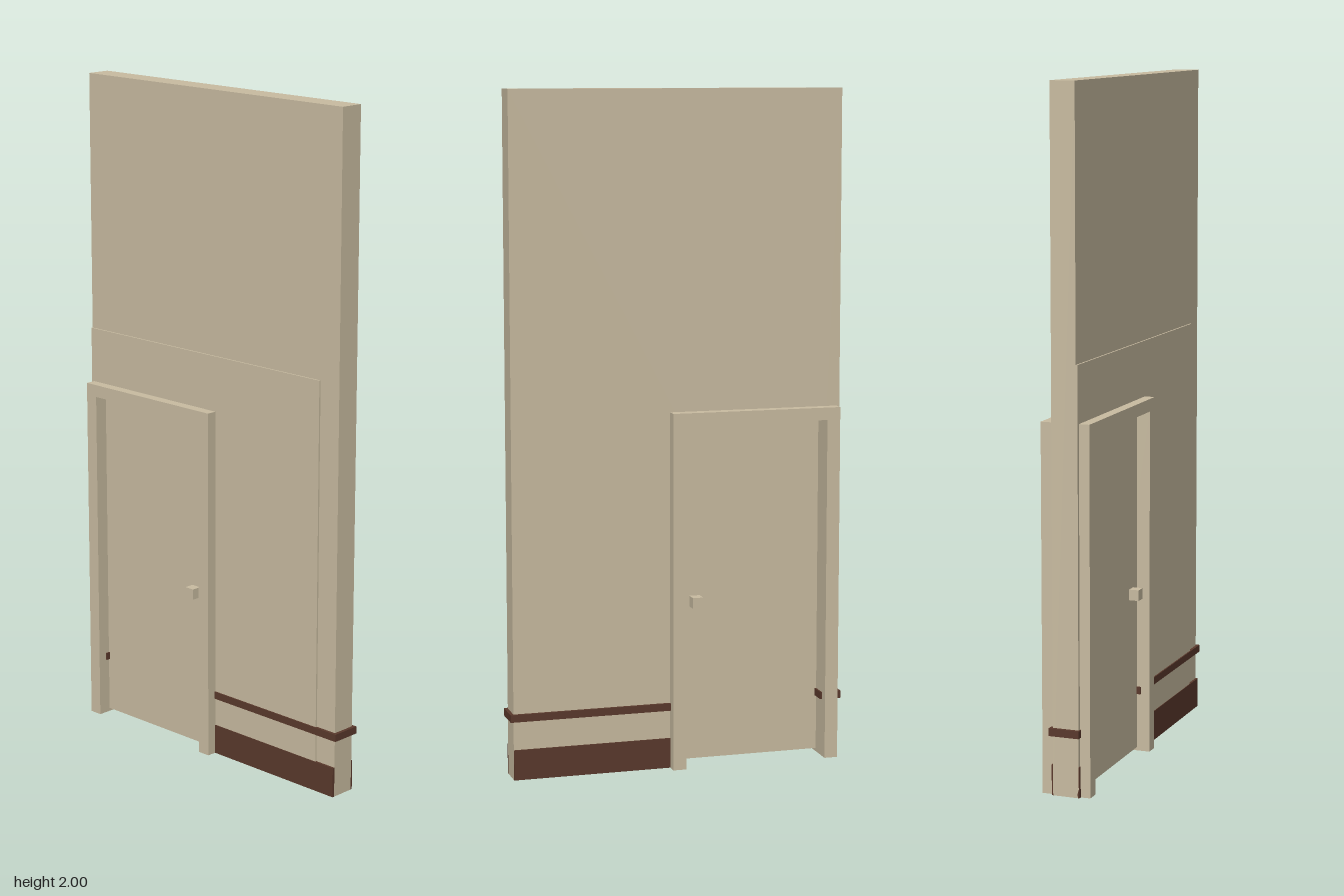
import * as THREE from 'three';

export function createModel() {
  const group = new THREE.Group();
  group.name = 'wallWithDoor';

  const plaster = new THREE.MeshStandardMaterial({ color: 0xc9bca1 });
  plaster.name = 'beigePlaster';
  const wood = new THREE.MeshStandardMaterial({ color: 0x5a392c });
  wood.name = 'darkWood';

  function add(name, geometry, material) {
    const mesh = new THREE.Mesh(geometry, material);
    mesh.name = name;
    group.add(mesh);
  }

  // Box given by its lower and upper corners
  function box(name, material, [x0, x1], [y0, y1], [z0, z1]) {
    const g = new THREE.BoxGeometry(x1 - x0, y1 - y0, z1 - z0);
    g.translate((x0 + x1) / 2, (y0 + y1) / 2, (z0 + z1) / 2);
    add(name, g, material);
  }

  // Slab with a doorway cut up from the floor
  function arch(name, [x0, x1], top, [ix0, ix1], innerTop, [z0, z1]) {
    const points = [
      [x0, 0], [ix0, 0], [ix0, innerTop], [ix1, innerTop],
      [ix1, 0], [x1, 0], [x1, top], [x0, top],
    ].map(([x, y]) => new THREE.Vector2(x, y));
    const g = new THREE.ExtrudeGeometry(new THREE.Shape(points), { depth: z1 - z0, bevelEnabled: false });
    g.translate(0, 0, z0);
    add(name, g, plaster);
  }

  // Wall, thin front panel and deep door frame
  const rough = [-0.46, -0.006];
  arch('wall', [-0.5, 0.5], 2, rough, 1.04, [-0.037, 0.036]);
  arch('frontPanel', [-0.5, 0.43], 1.23, rough, 1.04, [0.036, 0.041]);
  arch('doorFrame', [-0.49, 0.025], 1.065, [-0.45, -0.015], 1.028, [-0.073, 0.072]);

  // Door leaf with a small gap above and below, and a knob on each side
  box('door', plaster, [-0.45, -0.015], [0.01, 1.017], [0.006, 0.032]);
  box('frontKnob', plaster, [-0.08, -0.048], [0.475, 0.507], [0.03, 0.062]);
  box('backKnob', plaster, [-0.08, -0.048], [0.475, 0.507], [-0.03, 0.008]);

  // Rails wrap each side of the wall; baseboards lie on both faces
  const sides = [
    { name: 'right', rail: [-0.51, -0.445], base: [-0.5, -0.47] },
    { name: 'left', rail: [-0.02, 0.51], base: [0.01, 0.5] },
  ];
  for (const { name, rail, base } of sides) {
    box(name + 'ChairRail', wood, rail, [0.175, 0.197], [-0.046, 0.045]);
    box(name + 'FrontBaseboard', wood, base, [0, 0.09], [0.036, 0.043]);
    box(name + 'BackBaseboard', wood, base, [0, 0.09], [-0.041, -0.036]);
  }

  return group;
}
